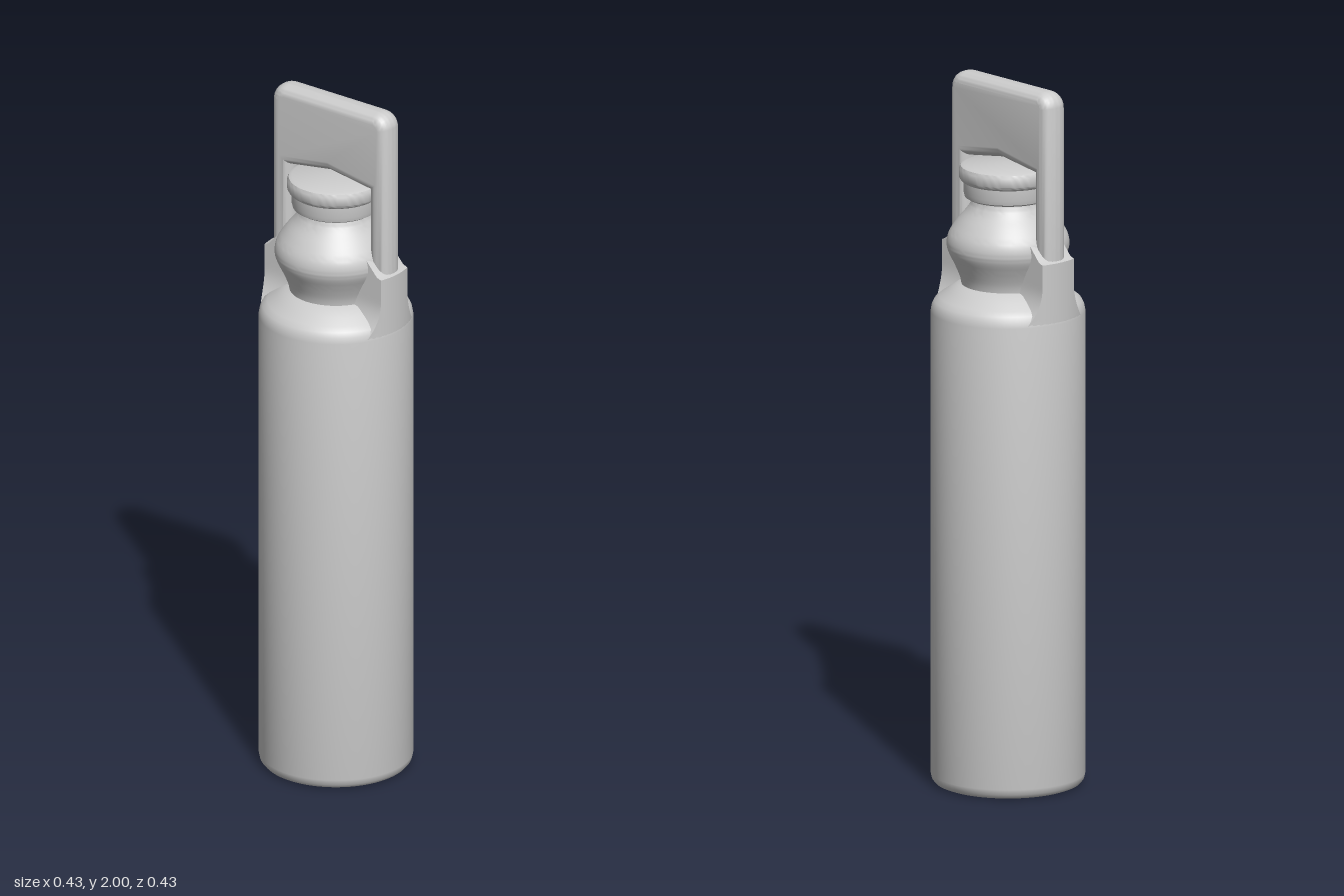
import * as THREE from 'three';
import { toCreasedNormals } from 'three/addons/utils/BufferGeometryUtils.js';

const grey = new THREE.MeshStandardMaterial({ color: 0xcccccc });
grey.name = 'light grey';

function addPart(group, name, geometry, crease = 0.6) {
  const mesh = new THREE.Mesh(toCreasedNormals(geometry, crease), grey);
  mesh.name = name;
  group.add(mesh);
  return mesh;
}

function lathe(points, segments = 72) {
  return new THREE.LatheGeometry(points.map(([r, y]) => new THREE.Vector2(r, y)), segments);
}

// Side bracket: a block whose outside follows the body, top slopes to the neck and foot flares
function bracketGeometry() {
  const geo = new THREE.BoxGeometry(1, 1, 1, 10, 14, 10);
  const p = geo.attributes.position;
  const R = 0.213;
  for (let i = 0; i < p.count; i++) {
    const u = p.getX(i) + 0.5, t = p.getY(i) + 0.5, s = p.getZ(i) * 2;
    const x = THREE.MathUtils.lerp(0.06, R, u);
    const top = 1.52 + THREE.MathUtils.clamp(0.203 - x, 0, 0.095) * 1.05;
    const y = THREE.MathUtils.lerp(1.35, top, t);
    const flare = Math.max(0, (1.45 - y) / 0.1);
    const z = s * (0.059 + 0.04 * flare * flare);
    p.setXYZ(i, THREE.MathUtils.lerp(0.06, Math.sqrt(R * R - z * z), u), y, z);
  }
  return geo;
}

// Handle: rounded arch outline, inset so the bevel brings it to full size
function handleGeometry() {
  const b = 0.03, w = 0.204 - b, top = 2 - b, inner = 0.138 + b, foot = 1.53, r = 0.02;
  const s = new THREE.Shape();
  s.moveTo(-w, foot);
  s.lineTo(-inner, foot);
  s.lineTo(-inner, 1.76 + b);
  s.lineTo(0, 1.785 + b);
  s.lineTo(inner, 1.76 + b);
  s.lineTo(inner, foot);
  s.lineTo(w, foot);
  s.lineTo(w, top - r);
  s.quadraticCurveTo(w, top, w - r, top);
  s.lineTo(-w + r, top);
  s.quadraticCurveTo(-w, top, -w, top - r);
  const geo = new THREE.ExtrudeGeometry(s, {
    depth: 0.01, bevelEnabled: true, bevelSize: b, bevelThickness: 0.035,
    bevelSegments: 8, curveSegments: 8,
  });
  return geo.translate(0, 0, -0.005);
}

export function createModel() {
  const model = new THREE.Group();
  model.name = 'bottle';

  // Cylindrical body with softened base and shoulder
  addPart(model, 'body', lathe([
    [0, 0], [0.19, 0], [0.203, 0.005], [0.211, 0.015], [0.214, 0.03],
    [0.214, 1.345], [0.211, 1.362], [0.204, 1.376], [0.19, 1.388],
    [0.165, 1.405], [0.14, 1.422], [0.11, 1.43],
  ]));

  // Waisted neck with a round bulge
  const bulge = new THREE.SplineCurve([
    [0.126, 1.4], [0.132, 1.44], [0.148, 1.48], [0.165, 1.515], [0.17, 1.54],
    [0.163, 1.57], [0.14, 1.605], [0.115, 1.635], [0.1, 1.66], [0.098, 1.685],
  ].map(([r, y]) => new THREE.Vector2(r, y)));
  addPart(model, 'neck', new THREE.LatheGeometry(bulge.getPoints(36), 72));

  // Two-tier screw cap
  addPart(model, 'cap', lathe([
    [0.085, 1.668], [0.112, 1.668], [0.12, 1.673], [0.123, 1.685], [0.124, 1.715],
    [0.131, 1.72], [0.135, 1.727], [0.135, 1.752], [0.131, 1.76], [0.122, 1.764],
    [0, 1.767],
  ]));

  // Brackets on both sides carry the handle
  ['leftBracket', 'rightBracket'].forEach((name, i) => {
    addPart(model, name, bracketGeometry()).rotation.y = i * Math.PI;
  });

  addPart(model, 'handle', handleGeometry(), 0.7);
  return model;
}
